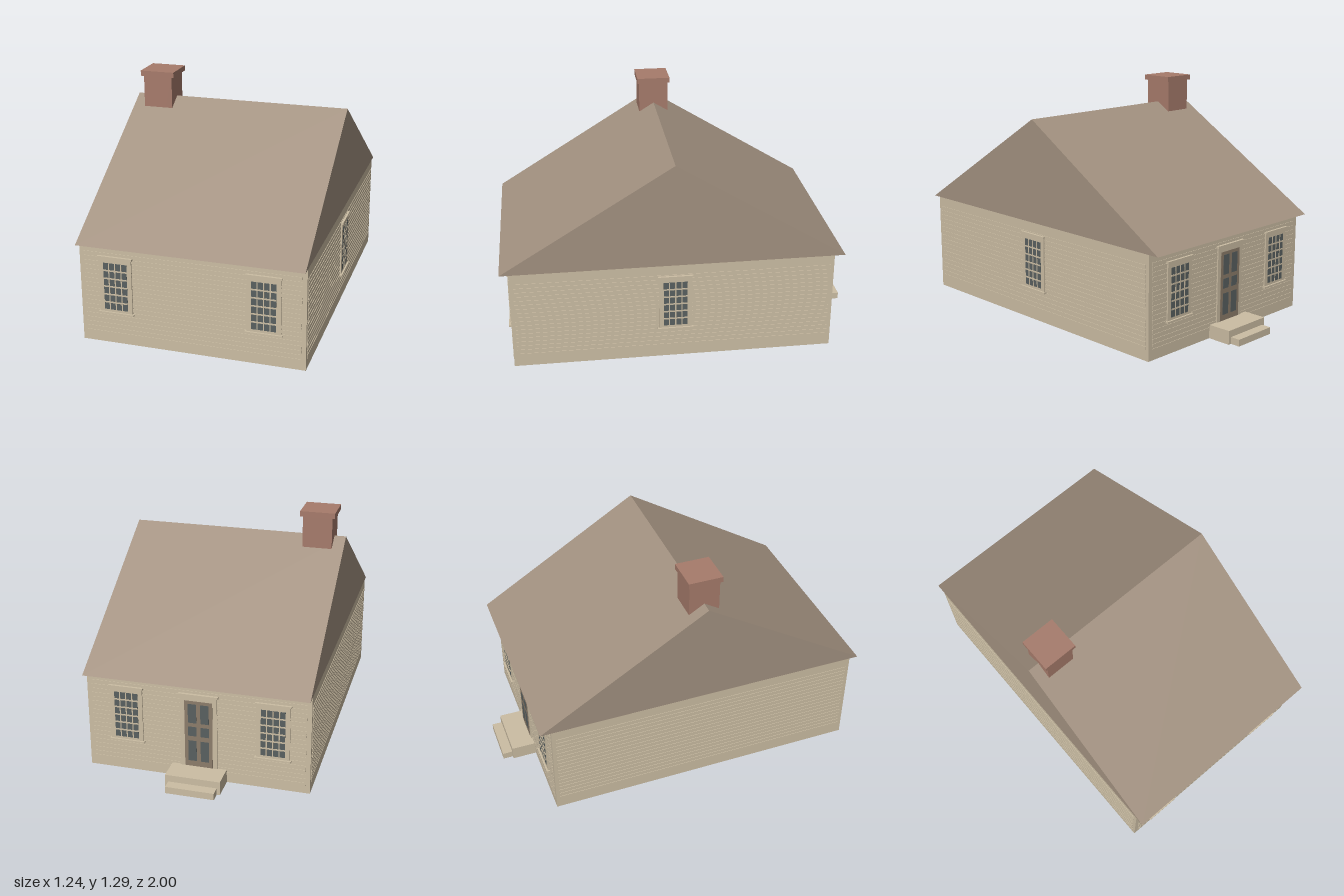
import * as THREE from 'three';

const mat = (name, color, side = THREE.FrontSide) => {
  const m = new THREE.MeshStandardMaterial({ color, side });
  m.name = name;
  return m;
};

export function createModel() {
  const paint = mat('cream paint', 0xcbbda3, THREE.DoubleSide);
  const shingle = mat('brown roof', 0xa29180);
  const brick = mat('red brick', 0xa67b6b, THREE.DoubleSide);
  const glass = mat('grey glass', 0x596060);
  const doorPaint = mat('brown door', 0x8c7c6a);

  const house = new THREE.Group();
  house.name = 'house';

  const add = (parent, name, geometry, material, x = 0, y = 0, z = 0) => {
    const mesh = new THREE.Mesh(geometry, material);
    mesh.name = name;
    mesh.position.set(x, y, z);
    parent.add(mesh);
    return mesh;
  };
  const box = (parent, name, w, h, d, material, x, y, z) =>
    add(parent, name, new THREE.BoxGeometry(w, h, d), material, x, y, z);

  // Box without its bottom, and without its top if asked
  const hollowBox = (w, h, d, openTop = false) => {
    const g = new THREE.BoxGeometry(w, h, d);
    const index = Array.from(g.index.array);
    index.splice(openTop ? 12 : 18, openTop ? 12 : 6);
    g.setIndex(index);
    g.clearGroups();
    return g;
  };

  // Wall shell, open above and below
  add(house, 'walls', hollowBox(1.22, 0.56, 1.76, true), paint, -0.01, 0.28, 0.07);

  // Gabled roof as one prism with a flat underside
  const gable = new THREE.Shape();
  gable.moveTo(-0.87, 0.56);
  gable.lineTo(1, 0.56);
  gable.lineTo(0.065, 1.135);
  gable.closePath();
  const roof = new THREE.ExtrudeGeometry(gable, { depth: 1.22, bevelEnabled: false });
  roof.rotateY(-Math.PI / 2);
  add(house, 'roof', roof, shingle, 0.6, 0, 0);

  // Chimney stack runs down through the ceiling
  add(house, 'chimneyStack', hollowBox(0.165, 0.78, 0.17, true), brick, -0.4725, 0.87, 0.065);
  box(house, 'chimneyCap', 0.195, 0.03, 0.19, brick, -0.4725, 1.275, 0.065);

  // Each facade is built facing local +z, then turned into place
  const facade = (name, x, z, turn) => {
    const g = new THREE.Group();
    g.name = name;
    g.position.set(x, 0, z);
    g.rotation.y = turn;
    house.add(g);
    return g;
  };
  const siding = (parent, length, bottom, top) => {
    const pitch = 0.0252;
    for (let y = bottom; y + pitch <= top + 0.01; y += pitch) {
      box(parent, 'sidingBoard', length, 0.018, 0.004, paint, 0, y + pitch / 2, 0.001);
    }
  };

  // Sash window, four panes wide and six high
  const windowAt = (parent, x) => {
    const w = new THREE.Group();
    w.name = 'window';
    w.position.x = x;
    parent.add(w);
    box(w, 'windowFrame', 0.18, 0.31, 0.01, paint, 0, 0.34, 0.005);
    box(w, 'windowHead', 0.192, 0.01, 0.016, paint, 0, 0.495, 0.008);
    box(w, 'windowSill', 0.196, 0.01, 0.02, paint, 0, 0.18, 0.01);
    box(w, 'windowGlass', 0.13, 0.264, 0.001, glass, 0, 0.331, 0.0105);
    for (let i = -1; i <= 1; i++) {
      box(w, 'verticalBar', 0.006, 0.264, 0.002, paint, i * 0.034, 0.331, 0.012);
    }
    for (let i = -2; i <= 2; i++) {
      box(w, 'crossBar', 0.13, 0.008, 0.002, paint, 0, 0.331 + i * 0.0448, 0.012);
    }
  };

  const front = facade('frontFacade', -0.01, 0.95, 0);
  siding(front, 1.17, 0.04, 0.52);
  windowAt(front, -0.41);
  windowAt(front, 0.39);

  const back = facade('backFacade', -0.01, -0.81, Math.PI);
  siding(back, 1.17, 0.04, 0.52);
  windowAt(back, -0.39);
  windowAt(back, 0.41);

  const right = facade('windowedSide', 0.6, 0.07, Math.PI / 2);
  siding(right, 1.72, 0.055, 0.505);
  windowAt(right, 0.005);

  const left = facade('plainSide', -0.62, 0.07, -Math.PI / 2);
  siding(left, 1.72, 0.055, 0.505);

  // Back door with glazed panels
  const door = new THREE.Group();
  door.name = 'door';
  door.position.x = 0.01;
  back.add(door);
  box(door, 'doorFrame', 0.2, 0.42, 0.01, paint, 0, 0.285, 0.005);
  box(door, 'doorHead', 0.215, 0.012, 0.018, paint, 0, 0.496, 0.009);
  box(door, 'doorSlab', 0.152, 0.385, 0.002, doorPaint, 0, 0.27, 0.011);
  for (const side of [-1, 1]) {
    for (const [y, h] of [[0.39, 0.11], [0.285, 0.055], [0.17, 0.12]]) {
      box(door, 'doorPanel', 0.046, h, 0.001, glass, side * 0.034, y, 0.0125);
    }
  }

  // Two steps, hollow underneath
  add(house, 'upperStep', hollowBox(0.3, 0.076, 0.135), paint, -0.02, 0.038, -0.8775);
  add(house, 'lowerStep', hollowBox(0.265, 0.038, 0.055), paint, -0.02, 0.019, -0.9725);

  return house;
}
